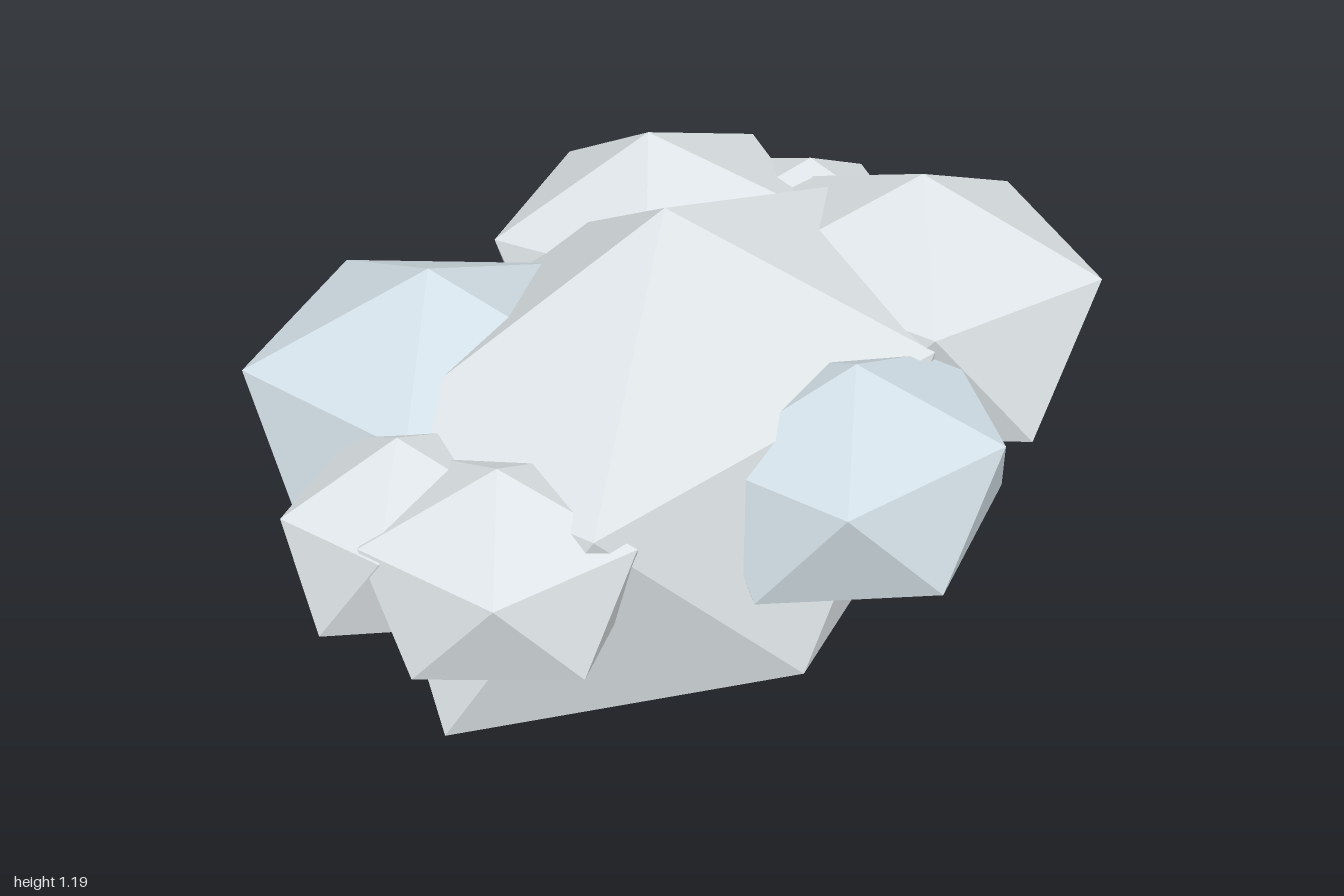
import * as THREE from 'three';

const paleGrey = new THREE.MeshStandardMaterial({ color: 0xdde3e6, flatShading: true });
const paleBlue = new THREE.MeshStandardMaterial({ color: 0xd2dfe6, flatShading: true });

// Faceted lump: an icosahedron with a corner straight up, stretched, tilted and placed
function lump(name, material, [x, y, z], [rx, ry, rz], turn = 0, tiltX = 0, tiltZ = 0) {
  const geo = new THREE.IcosahedronGeometry(1, 0);
  geo.rotateZ(Math.atan(2 / (1 + Math.sqrt(5)))); // corner to the top
  geo.rotateY(Math.PI - turn);                    // upper ring corner towards +x
  geo.scale(rx, ry, rz);
  geo.rotateX(tiltX);
  geo.rotateZ(tiltZ);
  geo.translate(x, y, z);
  const mesh = new THREE.Mesh(geo, material);
  mesh.name = name;
  return mesh;
}

export function createModel() {
  const group = new THREE.Group();
  group.name = 'facetedCluster';
  const parts = [
    // large flattened core
    ['core', paleGrey, [0.01, 0.607, 0.03], [0.955, 0.595, 0.61], 0.02, -0.05, 0.02],
    // ring of smaller lumps around it
    ['frontLump', paleBlue, [-0.01, 0.722, 0.51], [0.415, 0.275, 0.355], 0.04, -0.04],
    ['frontLeftLump', paleGrey, [0.583, 0.768, 0.287], [0.47, 0.34, 0.48], 0, 0, -0.04],
    ['backLeftLump', paleGrey, [0.455, 0.745, -0.345], [0.465, 0.325, 0.42], 0, -0.1],
    ['backRightLump', paleBlue, [-0.32, 0.73, -0.4], [0.475, 0.335, 0.46], 0.05],
    ['leftLump', paleGrey, [0.735, 0.73, -0.115], [0.278, 0.235, 0.285], 0, 0.06],
    ['rightFrontLump', paleGrey, [-0.705, 0.722, 0.095], [0.325, 0.24, 0.33]],
    ['rightBackLump', paleGrey, [-0.725, 0.715, -0.15], [0.305, 0.235, 0.25]],
  ];
  for (const part of parts) group.add(lump(...part));
  return group;
}
